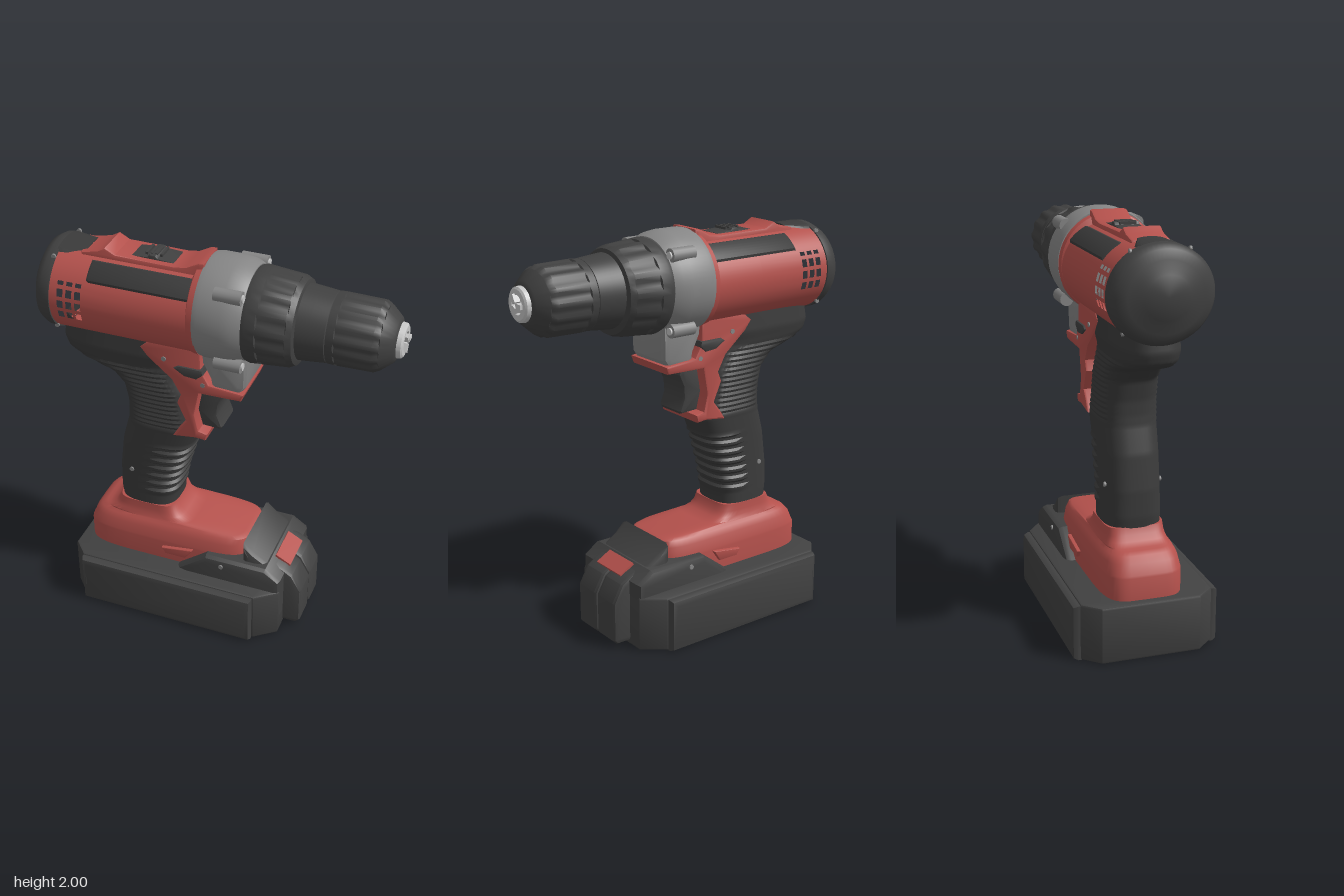
import * as THREE from 'three';
import { toCreasedNormals } from 'three/addons/utils/BufferGeometryUtils.js';

const paint = (name, color, side = THREE.FrontSide) => {
  const m = new THREE.MeshStandardMaterial({ color, side });
  m.name = name;
  return m;
};

// Surface swept from rows of points: point(i, j) gives [x, y, z]; skip(i, j) leaves openings
function surface(rows, cols, point, skip = () => false) {
  const pos = [], idx = [];
  for (let i = 0; i < rows; i++) for (let j = 0; j < cols; j++) pos.push(...point(i, j));
  for (let i = 0; i < rows - 1; i++) for (let j = 0; j < cols - 1; j++) {
    if (skip(i, j)) continue;
    const a = i * cols + j, b = a + cols;
    idx.push(a, b, a + 1, b, b + 1, a + 1);
  }
  const g = new THREE.BufferGeometry();
  g.setAttribute('position', new THREE.Float32BufferAttribute(pos, 3));
  g.setIndex(idx);
  return toCreasedNormals(g, 0.6);
}

// Turned part along x from [x, radius] points; ridge raises every third facet strip
function turned(profile, cy, ridge = 0, from = 0, to = 0, cols = 60) {
  return surface(profile.length, cols + 1, (i, j) => {
    const [x, r] = profile[i], t = (j / cols) * Math.PI * 2;
    const k = r > 0 && x > from && x < to && j % 4 < 2 ? r - ridge : r;
    return [x, cy + k * Math.cos(t), -k * Math.sin(t)];
  });
}

// Point on the oval motor housing
const oval = (x, deg, s) => {
  const t = THREE.MathUtils.degToRad(deg);
  return [x, 1.733 + 0.217 * s * Math.cos(t), -0.235 * s * Math.sin(t)];
};

// Side outline [x, y] extruded across z, centred, with bevelled edges
function slab(pts, half, bevel = 0.02, hole = null) {
  const v = (list) => list.map(([x, y]) => new THREE.Vector2(x, y));
  const shape = new THREE.Shape(v(pts));
  if (hole) shape.holes.push(new THREE.Path(v(hole)));
  const depth = 2 * (half - bevel);
  const g = new THREE.ExtrudeGeometry(shape, {
    depth, bevelEnabled: bevel > 0, bevelSize: bevel, bevelThickness: bevel, bevelOffset: -bevel, bevelSegments: 2,
  });
  g.translate(0, 0, -depth / 2);
  return toCreasedNormals(g, 0.6);
}

// Superellipse rings stacked in y from table rows [y, xRear, xFront, halfWidth]
function stacked(table, power, tweak = () => [0, 0], step = 0) {
  let rows = table;
  if (step) {
    rows = [];
    for (let y = table[0][0], k = 0; y <= table.at(-1)[0]; y += step) {
      while (k < table.length - 2 && y > table[k + 1][0]) k++;
      const f = (y - table[k][0]) / (table[k + 1][0] - table[k][0]);
      rows.push(table[k].map((a, n) => a + (table[k + 1][n] - a) * f));
    }
  }
  const cols = 48, pw = (c) => Math.sign(c) * Math.abs(c) ** (2 / power);
  return surface(rows.length, cols + 1, (i, j) => {
    const [y, x0, x1, hz] = rows[i], t = (j / cols) * Math.PI * 2;
    const [dx, dz] = tweak(i, y, Math.cos(t));
    return [(x0 + x1) / 2 + ((x1 - x0) / 2 + dx) * pw(Math.cos(t)), y, (hz + dz) * pw(Math.sin(t))];
  });
}

export function createModel() {
  const group = new THREE.Group();
  const red = paint('red casing', 0xb4514c, THREE.DoubleSide);
  const dark = paint('dark plastic', 0x414141);
  const rubber = paint('dark rubber', 0x3b3b3b, THREE.DoubleSide);
  const gray = paint('gray metal', 0x868686);
  const silver = paint('bright steel', 0xc6c6c6);
  const add = (name, geo, mat, x = 0, y = 0, z = 0) => {
    const m = new THREE.Mesh(geo, mat);
    m.name = name;
    m.position.set(x, y, z);
    group.add(m);
    return m;
  };

  // Motor housing with open vent slots on both sides
  const xs = [-0.79, -0.73, -0.7, -0.685, -0.655, -0.64, -0.61, -0.35, -0.09, -0.05];
  const slot = (d) => d === 60 || (d >= 70 && d < 80) || (d >= 85 && d < 95) || (d >= 100 && d < 110);
  add('motorHousing', surface(xs.length, 73, (i, j) => oval(xs[i], j * 5, 1),
    (i, j) => [1, 3, 5].includes(i) && (slot(j * 5) || slot(355 - j * 5))), red);
  add('housingRim', turned([[-0.1, 0.21], [-0.085, 0.238], [-0.05, 0.244], [-0.05, 0.2]], 1.745), red);
  add('topRidge', slab([[-0.68, 1.9], [-0.66, 1.945], [-0.58, 1.962], [-0.54, 1.985], [-0.49, 1.958], [-0.2, 1.955],
    [-0.14, 1.963], [-0.08, 1.995], [-0.05, 1.997], [-0.05, 1.9]], 0.09, 0.012), red);
  add('speedSwitch', slab([[-0.42, 1.93], [-0.42, 1.957], [-0.34, 1.963], [-0.33, 1.975], [-0.3, 1.975], [-0.29, 1.963],
    [-0.21, 1.957], [-0.21, 1.93]], 0.06, 0.005), dark);
  for (let k = 0; k < 4; k++) add('switchRib', new THREE.BoxGeometry(0.012, 0.012, 0.08), dark, -0.35 + k * 0.024, 1.972, 0);

  // Rubber strips along the upper shoulders
  const strip = [-0.6, -0.58, -0.07, -0.065];
  for (const d0 of [26, 302]) add('shoulderStrip', surface(4, 9, (i, j) => {
    const edge = i === 0 || i === 3 || j === 0 || j === 8;
    return oval(strip[i], d0 + j * 4, edge ? 0.98 : 1.035);
  }), rubber);

  // Rear cap and its tongue on top
  const cap = [[-0.885, 0], [-0.885, 0.45], [-0.87, 0.56], [-0.868, 0.74], [-0.845, 0.93], [-0.81, 1.02], [-0.77, 1.03], [-0.77, 0.98]];
  add('rearCap', surface(cap.length, 61, (i, j) => oval(cap[i][0], j * 6, cap[i][1])), dark);
  const tongue = [[-0.78, 28], [-0.73, 27], [-0.66, 18], [-0.64, 17], [-0.64, 17]];
  add('rearCapTongue', surface(5, 11, (i, j) => oval(tongue[i][0], (j / 5 - 1) * tongue[i][1],
    i === 4 || j % 10 === 0 ? 0.98 : 1.03)), rubber);

  // Gearbox, its neck and four corner screws
  add('gearbox', turned([[-0.055, 0], [-0.055, 0.245], [-0.03, 0.25], [0.08, 0.25], [0.13, 0.243], [0.17, 0.225], [0.17, 0]], 1.75), gray);
  add('gearboxNeck', slab([[-0.06, 1.6], [-0.05, 1.5], [-0.01, 1.42], [0, 1.36], [0.14, 1.365], [0.165, 1.4], [0.17, 1.6]], 0.14, 0.03), gray);
  for (const sy of [-1, 1]) for (const sz of [-1, 1]) {
    const boss = new THREE.CylinderGeometry(0.033, 0.033, 0.13, 16).rotateZ(Math.PI / 2);
    add('gearboxScrewBoss', boss, gray, 0.1, 1.735 + sy * 0.178, sz * 0.178);
    const screw = new THREE.CylinderGeometry(0.018, 0.018, 0.01, 12).rotateZ(Math.PI / 2);
    add('gearboxScrew', screw, silver, 0.168, 1.735 + sy * 0.178, sz * 0.178);
  }

  // Clutch collar and chuck with grip flutes
  add('clutchCollar', turned([[0.165, 0], [0.165, 0.222], [0.19, 0.23], [0.235, 0.226], [0.24, 0.226], [0.37, 0.215],
    [0.375, 0.212], [0.4, 0.2], [0.41, 0.17], [0.41, 0]], 1.745, 0.01, 0.238, 0.373), dark);
  add('chuckSleeve', turned([[0.4, 0], [0.4, 0.178], [0.47, 0.172], [0.54, 0.165], [0.545, 0.158], [0.55, 0]], 1.75), dark);
  add('chuck', turned([[0.545, 0], [0.545, 0.166], [0.58, 0.168], [0.585, 0.168], [0.755, 0.165], [0.78, 0.152],
    [0.785, 0.148], [0.835, 0.105], [0.845, 0.085], [0.845, 0]], 1.75, 0.008, 0.582, 0.783), dark);
  add('chuckNose', turned([[0.83, 0], [0.83, 0.085], [0.865, 0.08], [0.872, 0.07], [0.872, 0.045], [0.855, 0.04], [0.855, 0]], 1.75), silver);
  for (let k = 0; k < 3; k++) {
    const a = (k * 2 * Math.PI) / 3 + 0.5;
    const jaw = add('chuckJaw', new THREE.BoxGeometry(0.04, 0.04, 0.022), silver, 0.865, 1.75 + 0.03 * Math.cos(a), 0.03 * Math.sin(a));
    jaw.rotation.x = a;
  }

  // Handle with fine upper ribs and deep finger ribs
  add('handle', stacked([[0.55, -0.52, -0.22, 0.14], [0.62, -0.53, -0.215, 0.14], [0.75, -0.53, -0.19, 0.138],
    [0.92, -0.51, -0.14, 0.138], [1.05, -0.475, -0.09, 0.14], [1.1, -0.47, -0.11, 0.14], [1.17, -0.47, -0.13, 0.138],
    [1.27, -0.49, -0.15, 0.138], [1.34, -0.56, -0.18, 0.138], [1.385, -0.72, -0.18, 0.138], [1.42, -0.785, -0.18, 0.14],
    [1.47, -0.8, -0.15, 0.15], [1.59, -0.78, -0.1, 0.14]], 3, (i, y, c) => {
    if (y > 0.64 && y < 0.95 && c > 0.1) return i % 4 < 2 ? [0.005, 0.006] : [-0.008, -0.004];
    if (y > 1.06 && y < 1.4 && c > -0.8) return [0, i % 2 ? 0.002 : -0.003];
    return [0, 0];
  }, 0.0125), rubber);

  // Trigger area
  add('triggerFrame', slab([[-0.36, 1.53], [-0.32, 1.48], [-0.2, 1.38], [-0.155, 1.3], [-0.175, 1.25], [-0.13, 1.15], [-0.17, 1.1],
    [-0.2, 1.05], [-0.08, 1.065], [-0.03, 1.06], [-0.02, 1.1], [-0.065, 1.11], [-0.085, 1.2], [-0.06, 1.33], [0.15, 1.335],
    [0.165, 1.375], [-0.01, 1.39], [-0.05, 1.46], [-0.05, 1.58], [-0.3, 1.58]], 0.148, 0.012), red);
  add('trigger', slab([[-0.1, 1.345], [0.03, 1.345], [0.042, 1.3], [0.015, 1.24], [0.01, 1.18], [0.035, 1.115], [0.025, 1.1],
    [-0.07, 1.105], [-0.1, 1.2]], 0.09, 0.02), dark);
  add('directionButton', slab([[-0.185, 1.455], [-0.16, 1.47], [-0.04, 1.47], [-0.035, 1.445], [-0.07, 1.415], [-0.13, 1.42]], 0.158, 0.008), dark);

  // Red foot flaring from the handle
  add('foot', stacked([[0.26, -0.69, 0.2, 0.2], [0.39, -0.69, 0.2, 0.2], [0.4, -0.685, 0.2, 0.198], [0.45, -0.665, 0.195, 0.188],
    [0.48, -0.64, 0.19, 0.172], [0.492, -0.61, 0.16, 0.16], [0.498, -0.59, -0.11, 0.157], [0.515, -0.555, -0.17, 0.15],
    [0.54, -0.535, -0.2, 0.145], [0.575, -0.52, -0.215, 0.142], [0.575, -0.37, -0.37, 0]], 5), red);
  for (const s of [-1, 1]) add('footLatch', slab([[-0.25, 0.365], [-0.08, 0.39], [-0.12, 0.33], [-0.23, 0.33]], 0.02, 0.006), red, 0, 0, s * 0.198);

  // Battery body, side frames with long recesses, shoulder and nose
  const core = slab([[-0.73, 0.24], [-0.655, 0.322], [0.293, 0.322], [0.4, 0.24], [0.4, -0.24], [0.293, -0.322],
    [-0.655, -0.322], [-0.73, -0.24]], 0.14, 0.012).rotateX(-Math.PI / 2);
  add('batteryCore', core, dark, 0, 0.14, 0);
  for (const s of [-1, 1]) add('batterySideFrame', slab(
    [[-0.655, 0], [0.285, 0], [0.285, 0.272], [-0.655, 0.272]], 0.036, 0.03,
    [[-0.6, 0.12], [-0.58, 0.1], [0.18, 0.1], [0.2, 0.12], [0.2, 0.17], [0.18, 0.19], [-0.58, 0.19], [-0.6, 0.17]]), dark, 0, 0, s * 0.326);
  add('batteryShoulder', slab([[-0.17, 0.27], [-0.0, 0.4], [0.32, 0.4], [0.4, 0.345], [0.4, 0.1], [-0.17, 0.1]], 0.25, 0.03), dark);
  add('batteryTop', slab([[0.185, 0.3], [0.185, 0.493], [0.24, 0.445], [0.4, 0.345], [0.4, 0.3]], 0.2, 0.03), dark);
  for (const s of [-1, 1]) add('batteryNose', slab([[0.3, 0.02], [0.47, 0.02], [0.49, 0.04], [0.49, 0.24], [0.44, 0.33],
    [0.39, 0.362], [0.3, 0.4]], 0.08, 0.02), dark, 0, 0, s * 0.08);
  const release = add('releaseButton', new THREE.BoxGeometry(0.09, 0.045, 0.2), red, 0.365, 0.36, 0);
  release.rotation.z = -0.5;

  // Small casing screws, mirrored on both sides
  const screws = [[-0.78, 1.92, 0.135], [-0.775, 1.57, 0.165], [-0.235, 1.49, 0.148], [-0.04, 1.385, 0.145],
    [-0.435, 0.77, 0.136], [0.09, 0.365, 0.25], [-0.6, 0.13, 0.345], [0.21, 0.13, 0.345]];
  for (const [x, y, z] of screws) for (const s of [-1, 1])
    add('casingScrew', new THREE.CylinderGeometry(0.012, 0.012, 0.01, 12).rotateX(Math.PI / 2), gray, x, y, s * z);

  return group;
}
